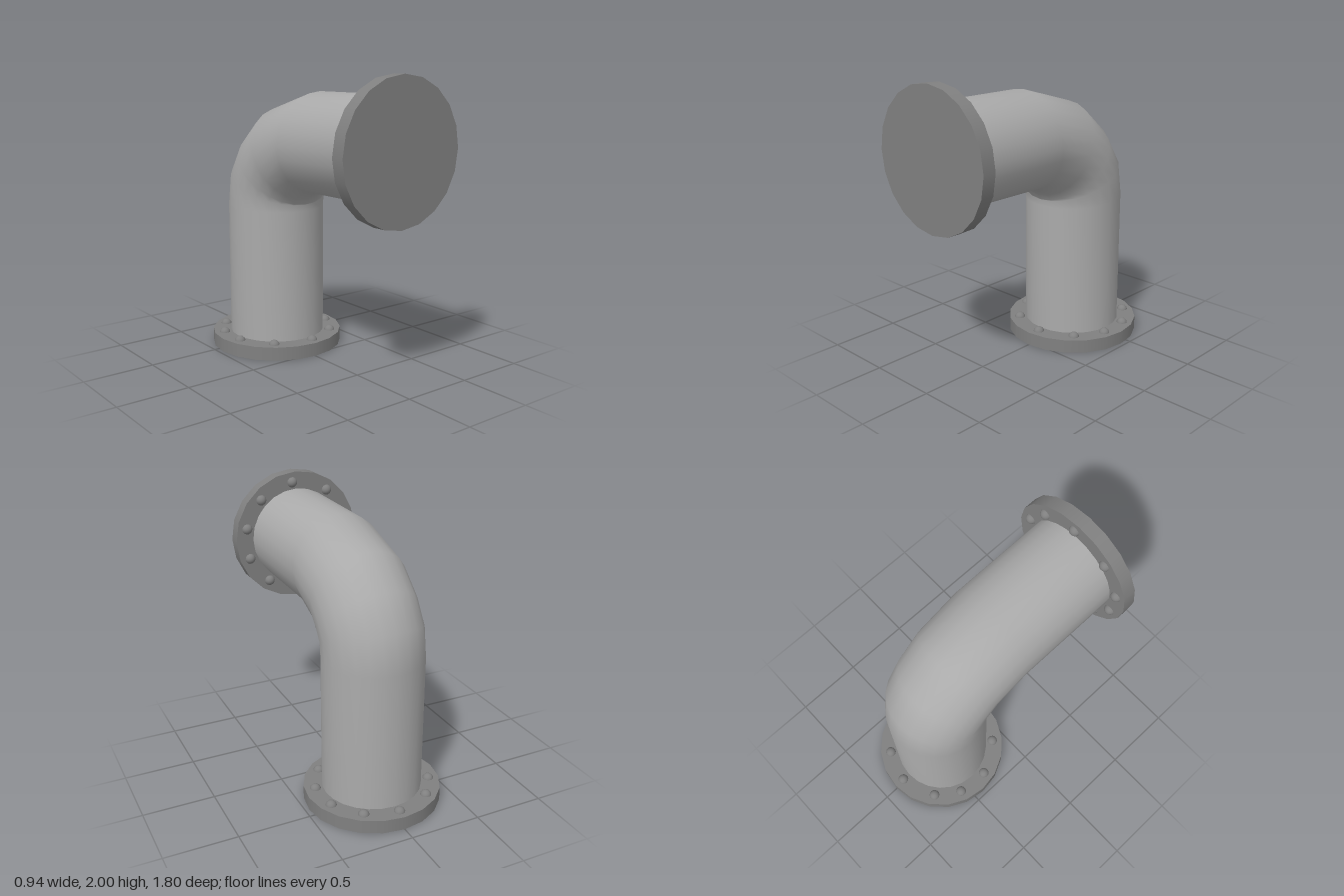
import * as THREE from 'three';

const pipeMat = new THREE.MeshStandardMaterial({ color: 0xaaaaaa });
const flangeMat = new THREE.MeshStandardMaterial({ color: 0x808080 });
const PIPE_R = 0.343, AXIS_Z = -0.428, AXIS_Y = 1.53;

// Flange disc standing on its own y = 0, with a ring of domed bolts on top
function makeFlange(name) {
  const flange = new THREE.Group();
  flange.name = name;
  const disc = new THREE.Mesh(new THREE.CylinderGeometry(0.472, 0.472, 0.095, 20), flangeMat);
  disc.name = name + 'Disc';
  disc.position.y = 0.0475;
  flange.add(disc);
  // slightly uneven hand-placed bolt angles, measured from +z
  const boltAngles = [4, 43, 77, 110, 145, 180, 220, 250, 283, 322];
  const boltGeo = new THREE.SphereGeometry(0.039, 14, 10);
  boltAngles.forEach((deg, i) => {
    const a = THREE.MathUtils.degToRad(deg);
    const bolt = new THREE.Mesh(boltGeo, flangeMat);
    bolt.name = name + 'Bolt' + (i + 1);
    bolt.position.set(0.396 * Math.sin(a), 0.088, 0.396 * Math.cos(a));
    flange.add(bolt);
  });
  return flange;
}

// Elbow pipe: circular rings along the bend, [z, y, tilt in degrees]
function makePipe() {
  const rings = [
    [0.85, AXIS_Y + 0.002, 0],
    [0.075, 1.523, -3],
    [-0.204, 1.424, 26],
    [-0.329, 1.306, 48],
    [-0.402, 1.195, 69],
    [AXIS_Z + 0.005, 1.04, 88],
    [AXIS_Z + 0.005, 0.05, 90],
  ];
  const sides = 24, pos = [], index = [];
  for (const [z, y, deg] of rings) {
    const t = THREE.MathUtils.degToRad(deg);
    for (let i = 0; i < sides; i++) {
      const a = (i / sides) * Math.PI * 2;
      const out = PIPE_R * Math.cos(a); // towards the outside of the bend
      pos.push(PIPE_R * Math.sin(a), y + out * Math.cos(t), z - out * Math.sin(t));
    }
  }
  for (let r = 0; r < rings.length - 1; r++) {
    for (let i = 0; i < sides; i++) {
      const j = (i + 1) % sides;
      const a = r * sides + i, b = r * sides + j, c = a + sides, d = b + sides;
      index.push(a, b, c, b, d, c);
    }
  }
  const geo = new THREE.BufferGeometry();
  geo.setAttribute('position', new THREE.Float32BufferAttribute(pos, 3));
  geo.setIndex(index);
  geo.computeVertexNormals();
  const pipe = new THREE.Mesh(geo, pipeMat);
  pipe.name = 'elbowPipe';
  return pipe;
}

export function createModel() {
  const model = new THREE.Group();
  model.name = 'pipeElbow';
  model.add(makePipe());

  const baseFlange = makeFlange('baseFlange');
  baseFlange.position.z = AXIS_Z;
  model.add(baseFlange);

  // same flange turned to close the horizontal end
  const frontFlange = makeFlange('frontFlange');
  frontFlange.rotation.x = -Math.PI / 2;
  frontFlange.position.set(0, AXIS_Y - 0.002, 0.9);
  model.add(frontFlange);
  return model;
}
